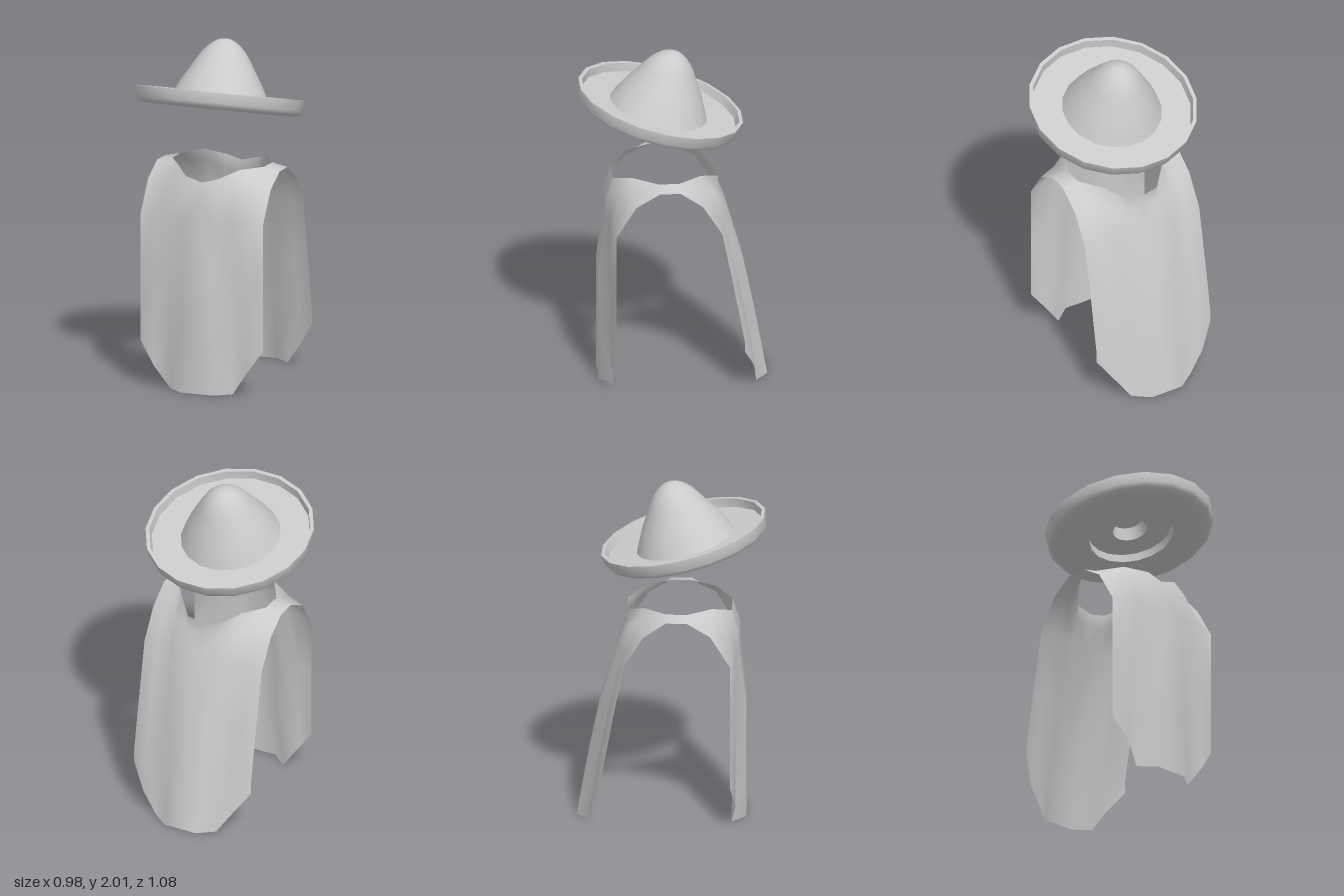
import * as THREE from 'three';
import { toCreasedNormals } from 'three/addons/utils/BufferGeometryUtils.js';

const mat = new THREE.MeshStandardMaterial({ color: 0xcccccc });
const cloth = new THREE.MeshStandardMaterial({ color: 0xcccccc, side: THREE.DoubleSide });

// Wide-brimmed hat: one closed profile from the hollow underside to the crown tip
function makeHat() {
  const profile = [
    [0, 0.03], [0.09, 0.03], [0.1, -0.048], [0.24, -0.048], [0.245, -0.095], // hollow
    [0.435, -0.095], [0.468, -0.083], [0.484, -0.06], [0.49, 0],             // brim underside and rim
    [0.468, 0], [0.46, -0.05], [0.29, -0.05],                               // rim lip and brim floor
    [0.262, 0.005], [0.235, 0.06], [0.2, 0.117], [0.15, 0.2],
    [0.125, 0.238], [0.1, 0.265], [0.075, 0.287], [0.05, 0.302], [0.025, 0.312], [0, 0.314], // crown
  ].map(([r, y]) => new THREE.Vector2(r, y));
  const geo = new THREE.LatheGeometry(profile, 18, Math.PI / 18);
  const hat = new THREE.Mesh(toCreasedNormals(geo, 0.75), mat);
  hat.name = 'hat';
  hat.position.set(0, 1.697, 0.065);
  hat.rotation.x = -0.255;
  return hat;
}

// Cloth columns from the middle to the arm edge; each lists [y, z] from neck to hem
const columnX = [0, 0.1, 0.195, 0.285, 0.38];
const frontColumns = [
  [[1.23, 0.345], [1.12, 0.385], [1.0, 0.388], [0.68, 0.427], [0.335, 0.427], [0, 0.427]],
  [[1.26, 0.345], [1.12, 0.388], [1.0, 0.39], [0.68, 0.43], [0.335, 0.43], [0, 0.43]],
  [[1.3, 0.24], [1.22, 0.32], [1.03, 0.372], [0.68, 0.365], [0.335, 0.355], [0, 0.35]],
  [[1.295, 0.1], [1.23, 0.245], [1.04, 0.362], [0.68, 0.375], [0.335, 0.378], [0.13, 0.378]],
  [[1.275, 0.1], [1.195, 0.235], [1.01, 0.35], [0.68, 0.35], [0.335, 0.35], [0.265, 0.35]],
];
const backColumns = [
  [[1.23, -0.255], [1.17, -0.258], [1.05, -0.305], [0.68, -0.41], [0.335, -0.48], [0, -0.54]],
  [[1.255, -0.255], [1.17, -0.258], [1.05, -0.305], [0.68, -0.41], [0.335, -0.48], [0, -0.54]],
  [[1.3, -0.15], [1.2, -0.23], [1.03, -0.278], [0.68, -0.345], [0.335, -0.41], [0, -0.468]],
  [[1.295, -0.02], [1.22, -0.165], [1.04, -0.275], [0.68, -0.36], [0.335, -0.425], [0.13, -0.455]],
  [[1.275, -0.02], [1.185, -0.15], [1.01, -0.26], [0.68, -0.325], [0.335, -0.388], [0.265, -0.39]],
];

// Poncho: a thin sheet from front hem over the shoulders to back hem, open at the neck
function makePoncho() {
  const positions = [], index = [];
  const rows = 12;
  for (let j = -4; j <= 4; j++) {
    const c = Math.abs(j);
    const path = [...frontColumns[c]].reverse().concat(backColumns[c]);
    for (const [y, z] of path) positions.push(Math.sign(j) * columnX[c], y, z);
  }
  for (let j = 0; j < 8; j++) {
    for (let i = 0; i < rows - 1; i++) {
      if (i === 5 && j > 0 && j < 7) continue; // neck opening
      const a = j * rows + i, b = a + rows;
      // diagonals mirrored about the middle
      if (j < 4) index.push(a, b, b + 1, a, b + 1, a + 1);
      else index.push(a, b, a + 1, b, b + 1, a + 1);
    }
  }
  const geo = new THREE.BufferGeometry();
  geo.setAttribute('position', new THREE.Float32BufferAttribute(positions, 3));
  geo.setIndex(index);
  geo.computeVertexNormals();
  const poncho = new THREE.Mesh(geo, cloth);
  poncho.name = 'poncho';
  return poncho;
}

export function createModel() {
  const group = new THREE.Group();
  group.name = 'hatAndPoncho';
  group.add(makeHat(), makePoncho());
  return group;
}
